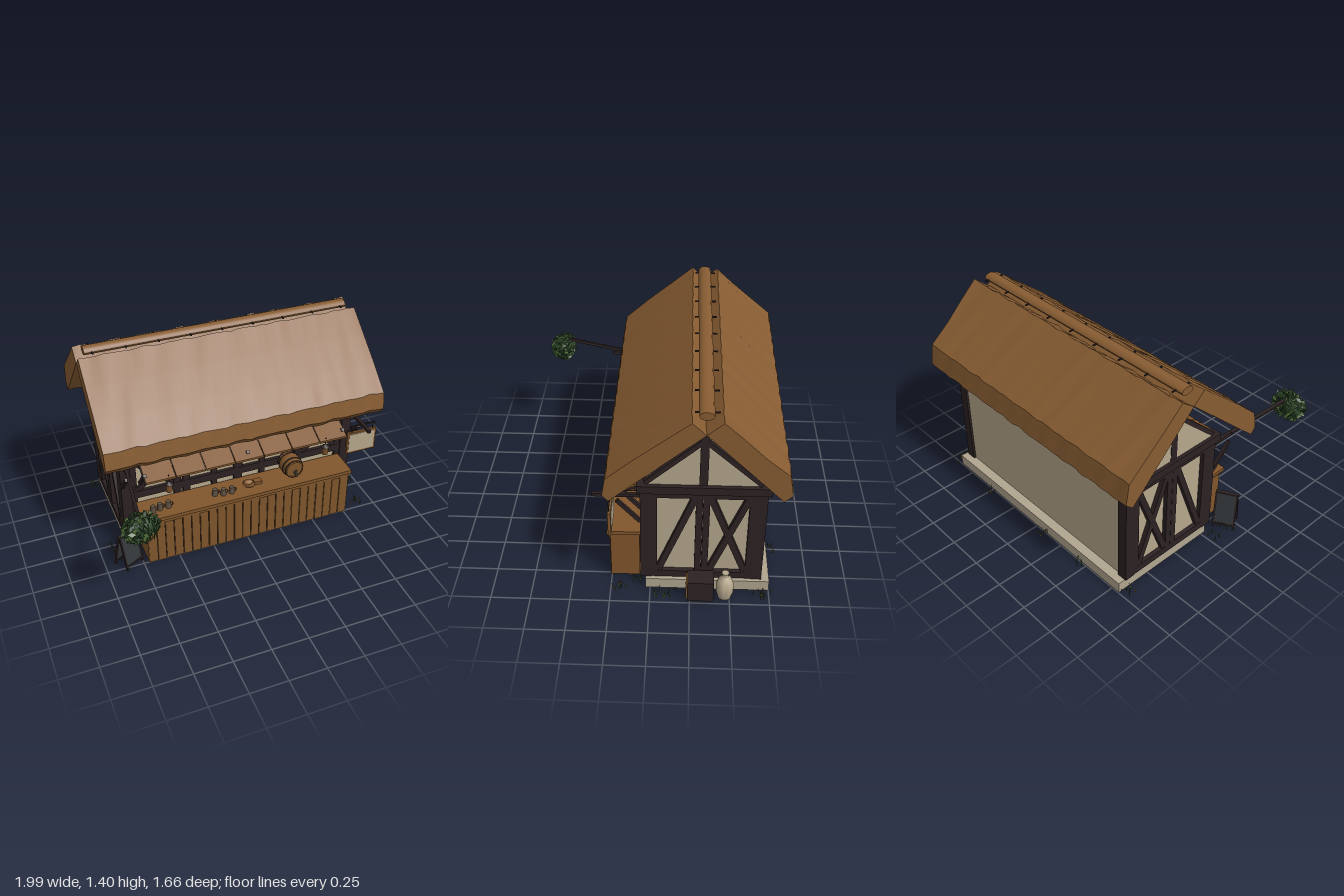
import * as THREE from 'three';
import { toCreasedNormals } from 'three/addons/utils/BufferGeometryUtils.js';

const mat = (name, color, side = THREE.FrontSide) => {
  const m = new THREE.MeshStandardMaterial({ color, side });
  m.name = name;
  return m;
};

export function createModel() {
  const thatch = mat('thatch', 0x875c32), wood = mat('wood', 0x80552b), timber = mat('darkTimber', 0x2c2122),
    plaster = mat('plaster', 0xb5a78c), stone = mat('stone', 0xb0a58f), slate = mat('slate', 0x34383a),
    pewter = mat('pewter', 0x5e5142), straw = mat('dryGrass', 0x7a5a30, THREE.DoubleSide),
    leafDark = mat('darkLeaf', 0x2c4628, THREE.DoubleSide), leafLight = mat('lightLeaf', 0x4d6a36, THREE.DoubleSide);

  const model = new THREE.Group();
  model.name = 'tavernStall';
  let seed = 7;
  const rand = () => (seed = (seed * 16807) % 2147483647) / 2147483647;
  const add = (name, geo, m, parent = model) => {
    const mesh = new THREE.Mesh(geo, m);
    mesh.name = name;
    parent.add(mesh);
    return mesh;
  };
  const group = (name, x = 0, y = 0, z = 0) => {
    const g = new THREE.Group();
    g.name = name;
    g.position.set(x, y, z);
    model.add(g);
    return g;
  };
  // box given by its extents
  const box = (name, m, x0, x1, y0, y1, z0, z1, parent) => {
    const b = add(name, new THREE.BoxGeometry(x1 - x0, y1 - y0, z1 - z0), m, parent);
    b.position.set((x0 + x1) / 2, (y0 + y1) / 2, (z0 + z1) / 2);
    return b;
  };
  // bar between two points, w wide in x and d deep in z when upright
  const beam = (name, m, a, b, w, d, parent) => {
    const p = new THREE.Vector3(...a), q = new THREE.Vector3(...b), dir = q.clone().sub(p);
    const mesh = add(name, new THREE.BoxGeometry(w, dir.length(), d), m, parent);
    mesh.position.copy(p).add(q).multiplyScalar(0.5);
    mesh.quaternion.setFromUnitVectors(new THREE.Vector3(0, 1, 0), dir.normalize());
    return mesh;
  };
  // prism along x from a [z, y] outline
  const prism = (outline, x0, x1, steps = 1) => {
    const shape = new THREE.Shape(outline.map(([z, y]) => new THREE.Vector2(-z, y)));
    return new THREE.ExtrudeGeometry(shape, { depth: x1 - x0, steps, bevelEnabled: false })
      .rotateY(Math.PI / 2).translate(x0, 0, 0);
  };

  // foundation with floor boards beneath
  box('foundation', stone, -0.81, 0.88, 0.004, 0.08, -0.75, 0.03);
  for (let i = 0; i < 5; i++) box('floorBoard', wood, -0.77, 0.84, 0, 0.006, -0.72 + i * 0.155, -0.645 + i * 0.155);
  box('floorJoist', wood, 0.0, 0.04, -0.001, 0.006, -0.75, 0.03);

  // walls
  box('wallBody', plaster, -0.79, 0.83, 0.08, 0.8, -0.685, 0.03);
  for (const x of [-0.82, 0.79]) {
    box('frontPost', timber, x, x + 0.07, 0.08, 0.79, -0.01, 0.06);
    box('backPost', timber, x, x + 0.07, 0.08, 0.79, -0.70, -0.63);
  }
  box('frontPlate', timber, -0.82, 0.86, 0.68, 0.8, 0.0, 0.055);
  box('backPlate', timber, -0.82, 0.86, 0.77, 0.825, -0.7, -0.64);

  // gable ends, alike on both sides
  const mid = -0.315;
  for (const s of [-1, 1]) {
    const g = group('gableEnd', 0.02);
    const x = s * 0.825;
    const bar = (name, z0, y0, z1, y1, w = 0.04) => beam(name, timber, [x, y0, z0], [x, y1, z1], 0.03, w, g);
    box('tieBeam', timber, x - 0.035, x + 0.035, 0.775, 0.83, -0.72, 0.08, g);
    bar('kingPost', mid, 0.82, mid, 1.265, 0.05);
    bar('rafter', 0.03, 0.84, mid, 1.155, 0.03);
    bar('rafter', -0.66, 0.84, mid, 1.155, 0.03);
    bar('bottomRail', 0, 0.11, -0.63, 0.11, 0.05);
    bar('topRail', 0, 0.753, -0.63, 0.753, 0.045);
    for (const z of [-0.022, -0.295, -0.338, -0.615]) bar('stud', z, 0.1, z, 0.77, 0.041);
    bar('brace', -0.05, 0.14, -0.27, 0.73);
    bar('brace', -0.365, 0.14, -0.59, 0.73);
    bar('brace', -0.59, 0.14, -0.365, 0.73);
    add('gableInfill', prism([[0.04, 0.82], [mid, 1.15], [-0.67, 0.82]], x - 0.012, x + 0.008), plaster, g);
  }

  // front framing
  const fz = 0.036;
  const studs = [[-0.43, 0.05], [-0.365, 0.05], [-0.165, 0.04], [0.01, 0.06], [0.19, 0.04], [0.405, 0.05], [0.465, 0.05], [-0.735, 0.05], [0.775, 0.05]];
  for (const [x, w] of studs) beam('frontStud', timber, [x, 0.08, fz], [x, 0.7, fz], w, 0.03);
  for (const y of [0.11, 0.43]) beam('frontRail', timber, [-0.8, y, fz], [0.83, y, fz], 0.055, 0.034);
  for (const [a, b] of [[-0.71, -0.455], [0.49, 0.75]]) {
    beam('crossBrace', timber, [a, 0.455, fz], [b, 0.68, fz], 0.035, 0.024);
    beam('crossBrace', timber, [b, 0.455, fz], [a, 0.68, fz], 0.035, 0.022);
  }

  // thatched roof, two thick slabs with a gentle wave
  const slopes = {
    frontThatch: [[-0.235, 1.365], [-0.08, 1.24], [0.09, 1.10], [0.25, 0.96], [0.27, 0.845], [0.235, 0.8], [mid, 1.285]],
    backThatch: [[mid, 1.285], [-0.775, 0.825], [-0.825, 0.867], [-0.80, 1.01], [-0.66, 1.13], [-0.53, 1.25], [-0.41, 1.36]],
  };
  for (const [name, outline] of Object.entries(slopes)) {
    const geo = prism(outline, -0.95, 0.98, 36), p = geo.attributes.position;
    for (let i = 0; i < p.count; i++) {
      const x = p.getX(i), z = p.getZ(i);
      p.setY(i, p.getY(i) + 0.004 * Math.sin(x * 27 + z * 13) + 0.003 * Math.sin(x * 47 - z * 31));
      p.setZ(i, z + 0.003 * Math.sin(x * 38 + p.getY(i) * 9));
    }
    add(name, toCreasedNormals(geo, 0.5), thatch);
  }
  // ridge roll pinned with sticks
  const ridge = add('ridgeRoll', toCreasedNormals(new THREE.CylinderGeometry(0.044, 0.044, 1.83, 10).rotateZ(Math.PI / 2).scale(1, 0.62, 1), 0.8), thatch);
  ridge.position.set(0.015, 1.373, -0.317);
  for (let i = 0; i < 9; i++) {
    const x = -0.85 + i * 0.217;
    beam('ridgePin', timber, [x, 1.372, -0.39], [x, 1.372, -0.25], 0.008, 0.008);
  }

  // counter
  box('counterCore', timber, -0.705, 0.755, 0.005, 0.35, 0.075, 0.25);
  for (let i = 0; i < 24; i++) {
    const x = -0.71 + i * 0.0613;
    box('counterPlank', wood, x, x + 0.056, 0.0, 0.35, 0.245, 0.257 + rand() * 0.004);
  }
  for (const x of [-0.715, 0.752]) box('counterSide', wood, x, x + 0.013, 0, 0.35, 0.07, 0.255);
  box('counterBottom', wood, -0.71, 0.76, 0, 0.006, 0.035, 0.25);
  box('counterTrim', wood, -0.72, 0.765, 0.325, 0.35, 0.07, 0.266);
  box('counterTop', wood, -0.735, 0.775, 0.35, 0.376, 0.06, 0.275);

  // awning of seven boards on braced arms
  for (let i = 0; i < 7; i++) {
    const x = -0.695 + i * 0.2045;
    add('awningBoard', prism([[0.06, 0.74], [0.06, 0.728], [0.24, 0.645], [0.24, 0.66]], x, x + 0.199), wood);
  }
  box('awningBatten', timber, -0.69, 0.73, 0.722, 0.732, 0.06, 0.075);
  for (const x of [-0.81, -0.69, 0.02, 0.72, 0.84]) beam('awningBrace', timber, [x, 0.53, 0.06], [x, 0.69, 0.2], 0.022, 0.022);
  for (const x of [-0.69, 0.02, 0.72]) beam('awningRafter', timber, [x, 0.722, 0.05], [x, 0.642, 0.23], 0.02, 0.014);

  // hanging lanterns
  for (const x of [-0.54, 0.58]) {
    const g = group('lantern', x, 0.57, 0.225);
    add('lanternBody', new THREE.CylinderGeometry(0.025, 0.02, 0.06, 8), wood, g);
    add('lanternCap', new THREE.ConeGeometry(0.03, 0.025, 8), timber, g).position.y = 0.042;
    add('lanternHook', new THREE.CylinderGeometry(0.004, 0.004, 0.06, 5), timber, g).position.y = 0.075;
  }

  // barrel with tap
  const barrel = group('barrel', 0.36, 0.458, 0.148);
  const staves = [[0, -0.075], [0.062, -0.075], [0.074, -0.03], [0.076, 0], [0.074, 0.03], [0.062, 0.075], [0.056, 0.075], [0.056, 0.068], [0, 0.068]];
  add('barrelBody', toCreasedNormals(new THREE.LatheGeometry(staves.map((p) => new THREE.Vector2(...p)), 18).rotateX(Math.PI / 2), 0.6), wood, barrel);
  for (const [z, r] of [[-0.06, 0.068], [-0.03, 0.076], [0.03, 0.076], [0.06, 0.068]])
    add('barrelHoop', new THREE.CylinderGeometry(r, r, 0.01, 18).rotateX(Math.PI / 2), timber, barrel).position.z = z;
  beam('tapSpout', pewter, [0, -0.02, 0.06], [0, -0.02, 0.11], 0.014, 0.014, barrel);
  beam('tapHandle', pewter, [0, -0.04, 0.1], [0, 0.015, 0.1], 0.01, 0.01, barrel);

  // mugs, platter and loaf
  for (const x of [-0.65, -0.6, -0.54, -0.21, -0.155, -0.095]) {
    const g = group('mug', x, 0.4, 0.15 + rand() * 0.05);
    add('mugBody', new THREE.CylinderGeometry(0.017, 0.02, 0.05, 10), pewter, g);
    add('mugHandle', new THREE.TorusGeometry(0.013, 0.004, 5, 8), pewter, g).position.x = 0.02;
  }
  add('platter', new THREE.CylinderGeometry(0.045, 0.035, 0.012, 12), wood).position.set(0.045, 0.383, 0.16);
  add('loaf', new THREE.SphereGeometry(0.035, 10, 8).scale(1, 0.55, 0.7), thatch).position.set(0.04, 0.4, 0.16);
  box('breadBoard', wood, 0.08, 0.135, 0.376, 0.4, 0.14, 0.18);

  // hanging sign
  beam('signArm', timber, [0.84, 0.735, 0.03], [0.84, 0.735, 0.35], 0.022, 0.022);
  beam('signBar', timber, [0.75, 0.725, 0.24], [0.945, 0.725, 0.24], 0.01, 0.01);
  for (const x of [0.77, 0.93]) beam('signChain', timber, [x, 0.67, 0.24], [x, 0.725, 0.24], 0.006, 0.006);
  box('signFrame', wood, 0.735, 0.955, 0.51, 0.678, 0.229, 0.247);
  box('signFace', plaster, 0.748, 0.942, 0.523, 0.665, 0.226, 0.25);

  // bush pole and its leafy bundle
  beam('poleBracket', timber, [-0.8, 0.735, 0.03], [-0.8, 0.735, 0.35], 0.022, 0.022);
  beam('bushPole', timber, [-0.805, 0.74, 0.22], [-0.87, 0.805, 0.7], 0.02, 0.02);
  const bush = group('leafyBundle', -0.87, 0.74, 0.725);
  const core = add('bundleCore', new THREE.IcosahedronGeometry(1, 1), leafDark, bush);
  core.scale.set(0.088, 0.07, 0.06);
  const leafShape = new THREE.Shape([[0, -0.028], [0.016, 0], [0, 0.03], [-0.016, 0]].map((p) => new THREE.Vector2(...p)));
  const leafGeo = new THREE.ShapeGeometry(leafShape);
  for (let i = 0; i < 170; i++) {
    const v = 1 - 2 * (i + 0.5) / 170, r = Math.sqrt(1 - v * v), a = i * 2.4;
    const leaf = add('leaf', leafGeo, i % 3 ? leafDark : leafLight, bush);
    const k = 0.8 + rand() * 0.12;
    leaf.position.set(Math.cos(a) * r * 0.125 * k, v * 0.1 * k, Math.sin(a) * r * 0.09 * k);
    leaf.rotation.set(rand() * 3 - 1.5, a + rand(), rand() * 6);
  }

  // folding chalkboard
  const board = group('chalkboard', -0.84, 0, 0.2);
  board.rotation.y = 0.5;
  for (const s of [-1, 1]) {
    const leafPanel = new THREE.Group();
    leafPanel.name = 'boardPanel';
    leafPanel.position.set(0, 0.135, s * 0.032);
    leafPanel.rotation.set(-s * 0.2, 0, 0);
    board.add(leafPanel);
    for (const x of [-0.075, 0.063]) box('boardStile', timber, x, x + 0.012, -0.135, 0.135, -0.007, 0.007, leafPanel);
    for (const y of [-0.11, 0.122]) box('boardRail', timber, -0.07, 0.07, y, y + 0.012, -0.007, 0.007, leafPanel);
    box('boardSlate', slate, -0.065, 0.065, -0.1, 0.124, -0.004, 0.004, leafPanel);
  }

  // crate and jug beside the right wall
  box('crate', timber, 0.87, 0.985, 0, 0.155, -0.4, -0.235);
  box('crateFront', wood, 0.878, 0.977, 0.01, 0.14, -0.235, -0.226);
  const jugLine = [[0, 0], [0.042, 0], [0.055, 0.05], [0.056, 0.1], [0.042, 0.145], [0.02, 0.168], [0.018, 0.19], [0.023, 0.2], [0, 0.2]];
  add('jug', toCreasedNormals(new THREE.LatheGeometry(jugLine.map((p) => new THREE.Vector2(...p)), 18), 0.7), plaster).position.set(0.93, 0, -0.47);

  // grass tufts round the base
  const bladeGeo = new THREE.ShapeGeometry(new THREE.Shape([[-0.006, 0], [0.006, 0], [0.002, 0.055]].map((p) => new THREE.Vector2(...p))));
  const tufts = [[0.88, 0.19], [0.83, 0.1], [0.93, -0.05], [0.93, -0.12], [0.93, -0.68], [0.9, -0.74], [-0.86, 0.18], [-0.88, 0.05], [-0.84, -0.7], [-0.45, -0.77], [-0.1, -0.77], [0.5, -0.77]];
  for (const [x, z] of tufts) {
    const g = group('grassTuft', x, 0, z);
    for (let i = 0; i < 10; i++) {
      const blade = add('blade', bladeGeo, i % 4 === 0 ? straw : i % 2 ? leafLight : leafDark, g);
      blade.position.set((rand() - 0.5) * 0.08, 0, (rand() - 0.5) * 0.08);
      blade.rotation.set(0, rand() * 6.28, (rand() - 0.5) * 0.9);
      blade.scale.y = 0.6 + rand() * 0.5;
    }
  }
  return model;
}
